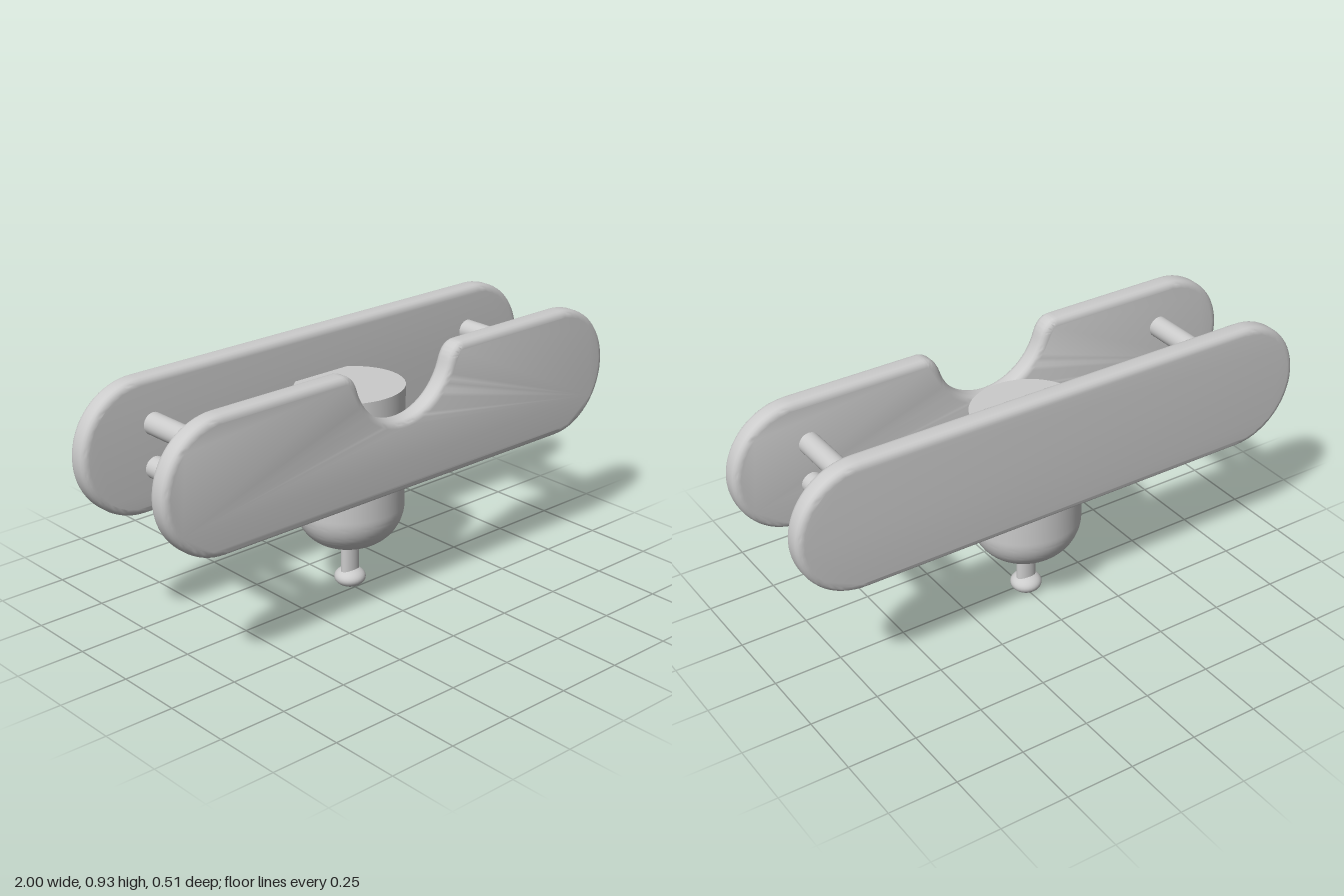
import * as THREE from 'three';
import { toCreasedNormals } from 'three/addons/utils/BufferGeometryUtils.js';

const material = new THREE.MeshStandardMaterial({ color: 0xcccccc });
const BODY_Z = -0.027;

function add(parent, name, geometry, x = 0, y = 0, z = 0) {
  const mesh = new THREE.Mesh(geometry, material);
  mesh.name = name;
  mesh.position.set(x, y, z);
  parent.add(mesh);
  return mesh;
}

// Long plate with round ends, optionally with a round notch in the top edge
function plateGeometry(notched) {
  const bottom = 0.455, top = 0.93, r = (top - bottom) / 2;
  const cx = 1 - r, cy = bottom + r, bevel = 0.025, thickness = 0.078;
  const s = new THREE.Shape();
  s.moveTo(-cx, bottom);
  s.lineTo(cx, bottom);
  s.absarc(cx, cy, r, -Math.PI / 2, Math.PI / 2, false);
  if (notched) {
    const nx = 0.205, drop = 0.065, a = Math.atan2(drop, nx);
    s.lineTo(0.275, top);
    s.quadraticCurveTo(0.225, top, nx, top - drop);
    s.absarc(0, top, Math.hypot(nx, drop), -a, a - Math.PI, true);
    s.quadraticCurveTo(-0.225, top, -0.275, top);
  }
  s.lineTo(-cx, top);
  s.absarc(-cx, cy, r, Math.PI / 2, Math.PI * 1.5, false);
  const g = new THREE.ExtrudeGeometry(s, {
    depth: thickness - 2 * bevel, curveSegments: 18,
    bevelThickness: bevel, bevelSize: bevel, bevelOffset: -bevel, bevelSegments: 4,
  });
  g.translate(0, 0, bevel - thickness / 2);
  return toCreasedNormals(g, 0.6);
}

// Cylinder lying along z
function rodGeometry(radius, length) {
  return new THREE.CylinderGeometry(radius, radius, length, 28).rotateX(Math.PI / 2);
}

export function createModel() {
  const model = new THREE.Group();
  model.name = 'model';

  add(model, 'frontPlate', plateGeometry(true), 0, 0, 0.215);
  add(model, 'backPlate', plateGeometry(false), 0, 0, -0.215);

  // Two spacer rods at each end
  for (const x of [-0.72, 0.72]) {
    for (const y of [0.767, 0.613]) add(model, 'spacerRod', rodGeometry(0.039, 0.39), x, y, 0);
  }

  // Hanging body with a rounded bottom, slightly narrower front to back
  const profile = new THREE.Path();
  profile.moveTo(0, 0.175);
  profile.lineTo(0.05, 0.175);
  profile.absarc(0.05, 0.325, 0.15, -Math.PI / 2, 0, false);
  profile.lineTo(0.2, 0.765);
  const points = profile.getPoints(14);
  const body = toCreasedNormals(new THREE.LatheGeometry(points, 48), 0.6);
  add(model, 'body', body, 0, 0, BODY_Z).scale.z = 0.925;
  const cap = new THREE.CircleGeometry(0.2, 48).rotateX(-Math.PI / 2);
  add(model, 'bodyTop', cap, 0, 0.765, BODY_Z).scale.z = 0.925;

  // Stub joining the body to the front plate
  add(model, 'mountingStub', rodGeometry(0.086, 0.11), 0, 0.61, 0.145);

  // Pull stem with a flattened knob
  const stem = new THREE.CylinderGeometry(0.038, 0.038, 0.16, 28);
  add(model, 'stem', stem, 0, 0.12, BODY_Z).scale.z = 0.64;
  const knob = new THREE.SphereGeometry(0.057, 28, 18);
  add(model, 'knob', knob, 0, 0.036, BODY_Z).scale.y = 0.62;

  return model;
}
